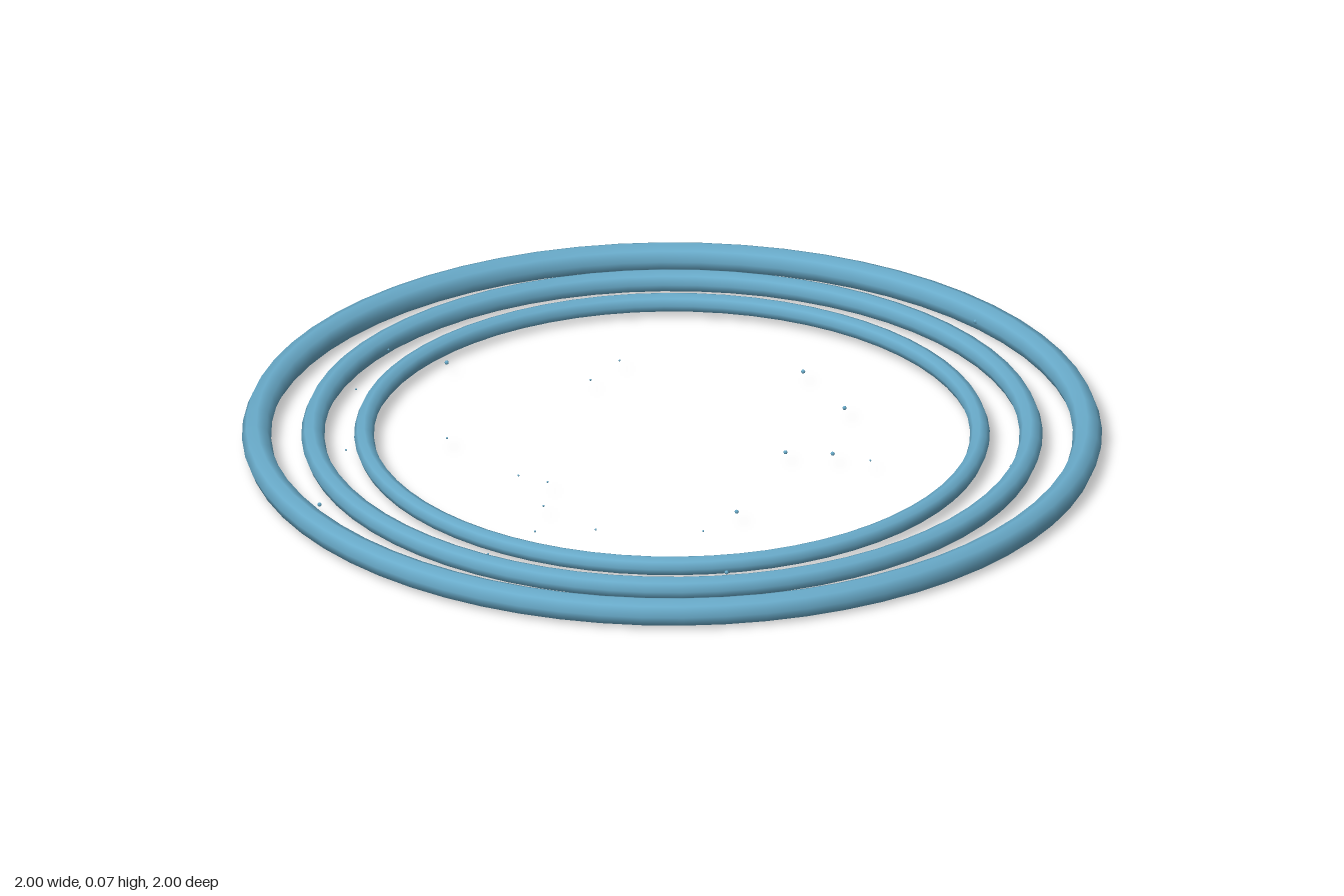
import * as THREE from 'three';

const ringBlue = new THREE.MeshStandardMaterial({ color: 0x69abca });
ringBlue.name = 'ringBlue';

const MID = 0.034; // height of the plane shared by rings and specks

// name, centre-line radius, tube radius
const RINGS = [
  ['outerRing', 0.966, 0.034],
  ['middleRing', 0.835, 0.027],
  ['innerRing', 0.716, 0.023],
];

// larger and smaller floating specks as [x, z]
const LARGE_SPECKS = [
  [-0.55, -0.35], [0.28, -0.36], [0.39, -0.17], [0.27, 0.08], [0.18, 0.41],
  [0.8, 0.12], [0.66, -0.66], [0.38, 0.08], [0.18, 0.74], [-0.79, 0.44],
];
const SMALL_SPECKS = [
  [-0.15, -0.39], [-0.21, -0.28], [0.47, 0.11], [-0.52, 0.06], [-0.34, 0.25],
  [-0.27, 0.28], [-0.27, 0.41], [-0.28, 0.55], [-0.14, 0.53], [0.11, 0.52],
  [-0.38, 0.68], [-0.75, 0.14], [-0.75, -0.19], [-0.69, -0.41], [0.06, -0.87],
];

export function createModel() {
  const model = new THREE.Group();
  model.name = 'concentricRings';

  // three flat-lying rings
  for (const [name, radius, tube] of RINGS) {
    const geometry = new THREE.TorusGeometry(radius, tube, 8, 64).rotateX(-Math.PI / 2);
    const ring = new THREE.Mesh(geometry, ringBlue);
    ring.name = name;
    ring.position.y = MID;
    model.add(ring);
  }

  // tiny specks scattered in the plane of the rings
  const specks = new THREE.Group();
  specks.name = 'specks';
  const addSpecks = (points, radius) => {
    const geometry = new THREE.SphereGeometry(radius, 6, 4);
    for (const [x, z] of points) {
      const speck = new THREE.Mesh(geometry, ringBlue);
      speck.name = 'speck';
      speck.position.set(x, MID, z);
      specks.add(speck);
    }
  };
  addSpecks(LARGE_SPECKS, 0.005);
  addSpecks(SMALL_SPECKS, 0.0025);
  model.add(specks);

  return model;
}
